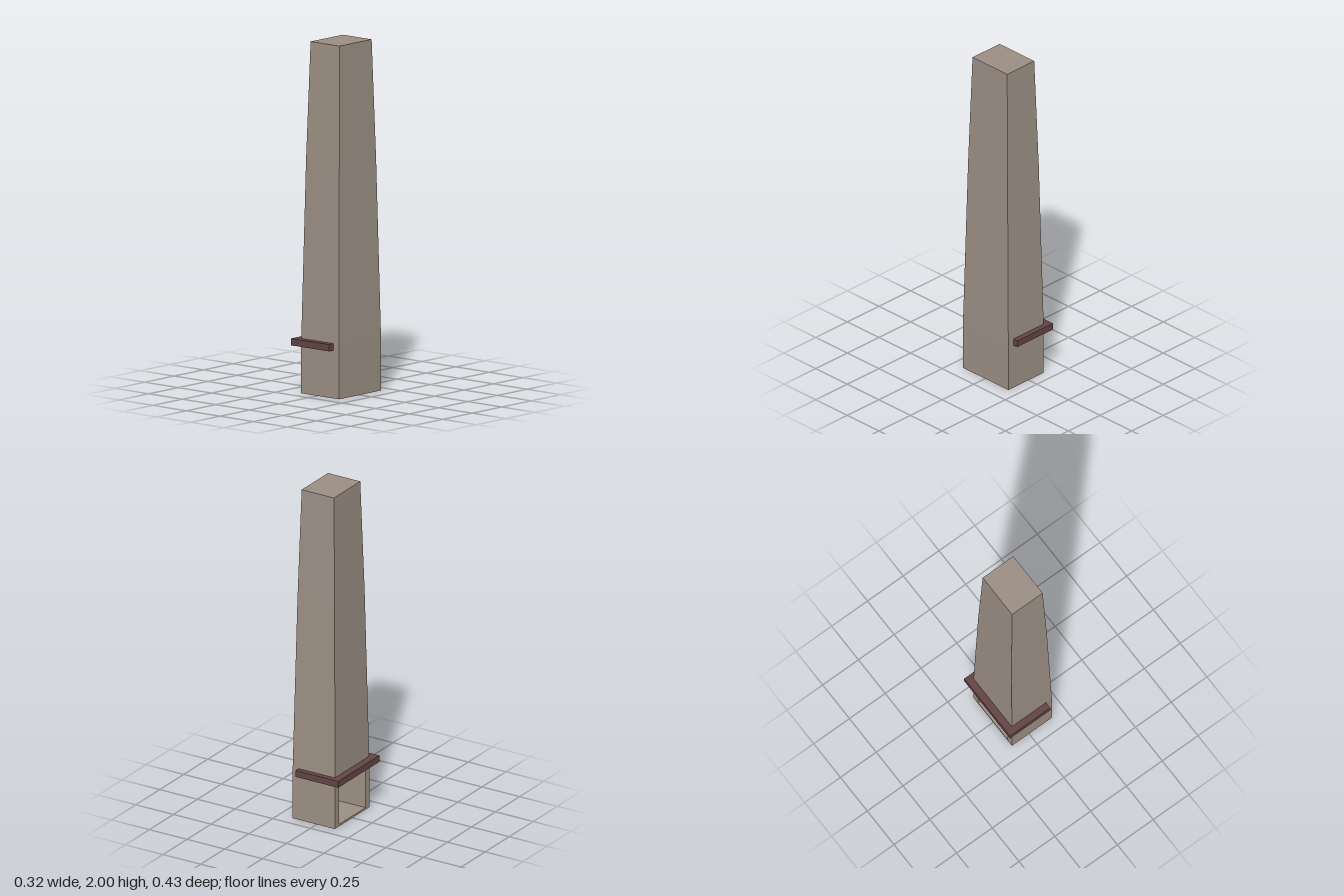
import * as THREE from 'three';

const stone = new THREE.MeshStandardMaterial({ color: 0x9b8f84 });
stone.name = 'warm grey stone';
const wood = new THREE.MeshStandardMaterial({ color: 0x634444 });
wood.name = 'dark red wood';

// Horizontal sections of the chimney: y, x0, x1, z0, z1
const rings = [
  [0.3, -0.12, 0.16, -0.184, 0.174],
  [1.33, -0.104, 0.143, -0.161, 0.151],
  [2, -0.087, 0.127, -0.142, 0.132],
];
const [baseTop, x0, x1, z0, z1] = rings[0];

// Opening of the firebox in the -x side
const hole = { y0: 0.012, y1: 0.25, z0: -0.14, z1: 0.135, depth: 0.24 };

function add(group, name, geometry, material) {
  const mesh = new THREE.Mesh(geometry, material);
  mesh.name = name;
  group.add(mesh);
  return mesh;
}

// Box between two corners
function boxBetween(ax, ay, az, bx, by, bz) {
  return new THREE.BoxGeometry(bx - ax, by - ay, bz - az)
    .translate((ax + bx) / 2, (ay + by) / 2, (az + bz) / 2);
}

// Leave out box sides by number: 0 +x, 1 -x, 2 +y, 3 -y, 4 +z, 5 -z
function withoutSides(geometry, sides) {
  const index = Array.from(geometry.index.array);
  geometry.setIndex(index.filter((_, i) => !sides.includes(Math.floor(i / 6))));
  geometry.clearGroups();
  return geometry;
}

// Tapering shaft: each level of a segmented box is fitted to its section
function shaftGeometry() {
  const g = new THREE.BoxGeometry(1, 1, 1, 1, rings.length - 1, 1).toNonIndexed();
  const p = g.attributes.position;
  for (let i = 0; i < p.count; i++) {
    const level = Math.round((p.getY(i) + 0.5) * (rings.length - 1));
    const [y, ax, bx, az, bz] = rings[level];
    p.setXYZ(i, p.getX(i) < 0 ? ax : bx, y, p.getZ(i) < 0 ? az : bz);
  }
  g.computeVertexNormals();
  return g;
}

// Flat wall with the firebox opening cut out, turned to face -x
function openingWallGeometry() {
  const rect = (path, az, ay, bz, by) =>
    path.moveTo(az, ay).lineTo(bz, ay).lineTo(bz, by).lineTo(az, by).closePath();
  const wall = rect(new THREE.Shape(), z0, 0, z1, baseTop);
  wall.holes.push(rect(new THREE.Path(), hole.z0, hole.y0, hole.z1, hole.y1));
  return new THREE.ShapeGeometry(wall).rotateY(-Math.PI / 2).translate(x0, 0, 0);
}

// Inside faces of the firebox, turned inwards and open to -x
function fireboxGeometry() {
  const g = withoutSides(
    boxBetween(x0, hole.y0, hole.z0, x0 + hole.depth, hole.y1, hole.z1), [1]);
  g.setIndex(Array.from(g.index.array).reverse());
  const n = g.attributes.normal;
  for (let i = 0; i < n.count; i++) n.setXYZ(i, -n.getX(i), -n.getY(i), -n.getZ(i));
  return g;
}

export function createModel() {
  const model = new THREE.Group();
  model.name = 'chimney';

  add(model, 'shaft', shaftGeometry(), stone);

  // Hearth block with the fireplace in its side
  const base = new THREE.Group();
  base.name = 'fireplaceBase';
  add(base, 'baseWalls', withoutSides(boxBetween(x0, 0, z0, x1, baseTop, z1), [1, 2]), stone);
  add(base, 'openingWall', openingWallGeometry(), stone);
  add(base, 'firebox', fireboxGeometry(), stone);
  model.add(base);

  // Mantel shelf around three sides
  add(model, 'mantel', boxBetween(-0.162, 0.273, -0.215, 0.12, 0.312, 0.213), wood);

  return model;
}
